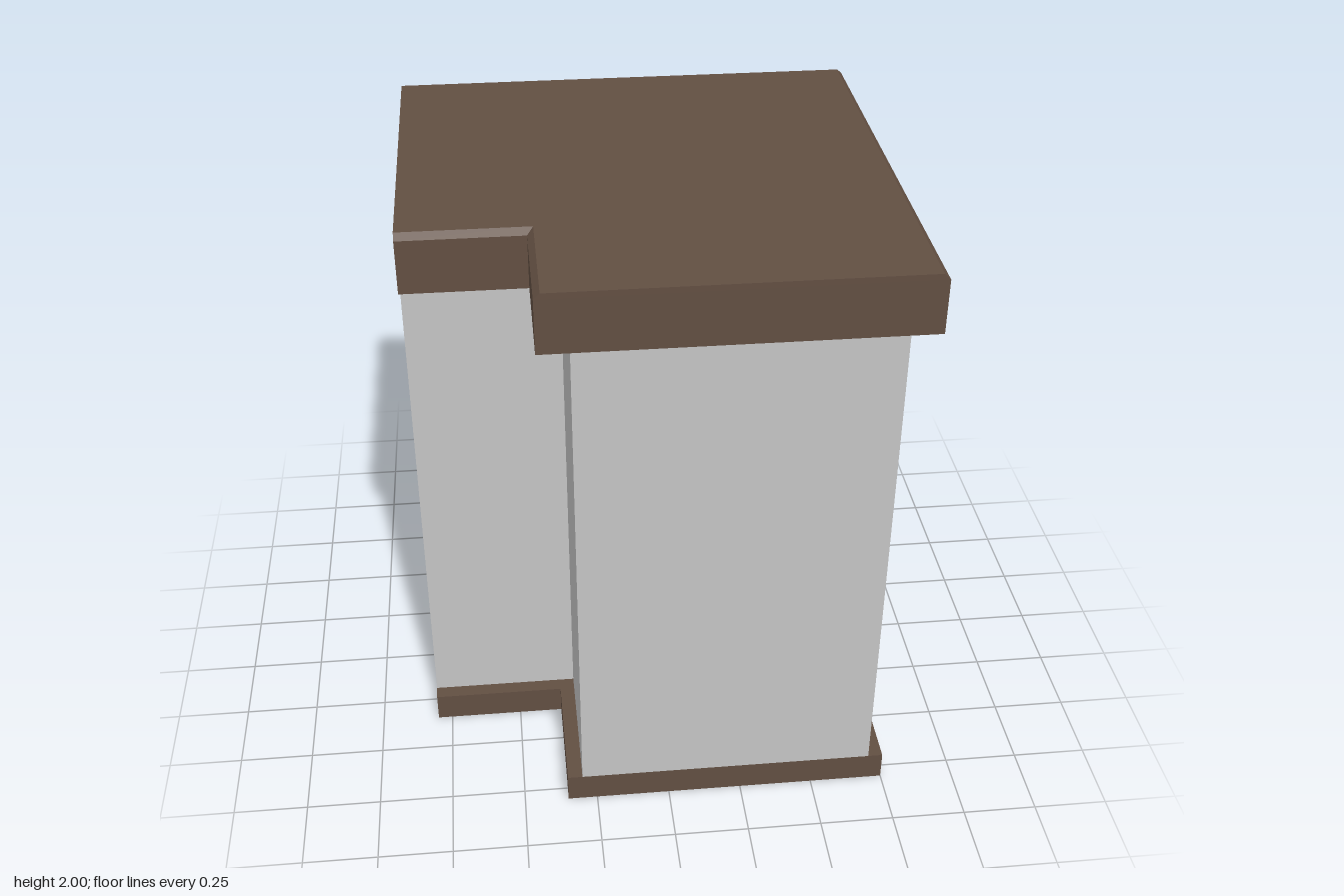
import * as THREE from 'three';

// L-shaped plan: flush at x = -0.8 and z = 0.8, reaching out to r on the other sides
function outline(r) {
  const n = r - 0.4;
  return [[-0.8, -r], [r, -r], [r, 0.8], [-n, 0.8], [-n, n], [-0.8, n]];
}

// Stack of L-shaped sections [y, r], closed at both ends
function loftL(sections) {
  const rings = sections.map(([y, r]) => outline(r).map(([x, z]) => [x, y, z]));
  const pos = [];
  const tri = (a, b, c) => pos.push(...a, ...b, ...c);
  for (let s = 0; s < rings.length - 1; s++) {
    const lo = rings[s], hi = rings[s + 1];
    for (let i = 0; i < 6; i++) {
      const j = (i + 1) % 6;
      tri(lo[j], lo[i], hi[i]);
      tri(lo[j], hi[i], hi[j]);
    }
  }
  // end faces fan out from the inner corner
  const bottom = rings[0], top = rings[rings.length - 1];
  for (let k = 0; k < 4; k++) {
    const i = (5 + k) % 6, j = (i + 1) % 6;
    tri(bottom[4], bottom[i], bottom[j]);
    tri(top[4], top[j], top[i]);
  }
  const geo = new THREE.BufferGeometry();
  geo.setAttribute('position', new THREE.Float32BufferAttribute(pos, 3));
  geo.computeVertexNormals();
  return geo;
}

export function createModel() {
  const model = new THREE.Group();
  model.name = 'cornerWallBlock';

  const brown = new THREE.MeshStandardMaterial({ color: 0x624f42 });
  brown.name = 'brown trim';
  const grey = new THREE.MeshStandardMaterial({ color: 0xc4c4c4 });
  grey.name = 'light grey wall';

  const add = (name, material, sections) => {
    const mesh = new THREE.Mesh(loftL(sections), material);
    mesh.name = name;
    model.add(mesh);
  };

  add('basePlinth', brown, [[0, 0.75], [0.1, 0.75]]);
  add('wall', grey, [[0.1, 0.7], [1.8, 0.7]]);
  // coping with a small chamfer on its overhanging edges
  add('topCoping', brown, [[1.8, 0.8], [1.98, 0.8], [2, 0.78]]);

  return model;
}
